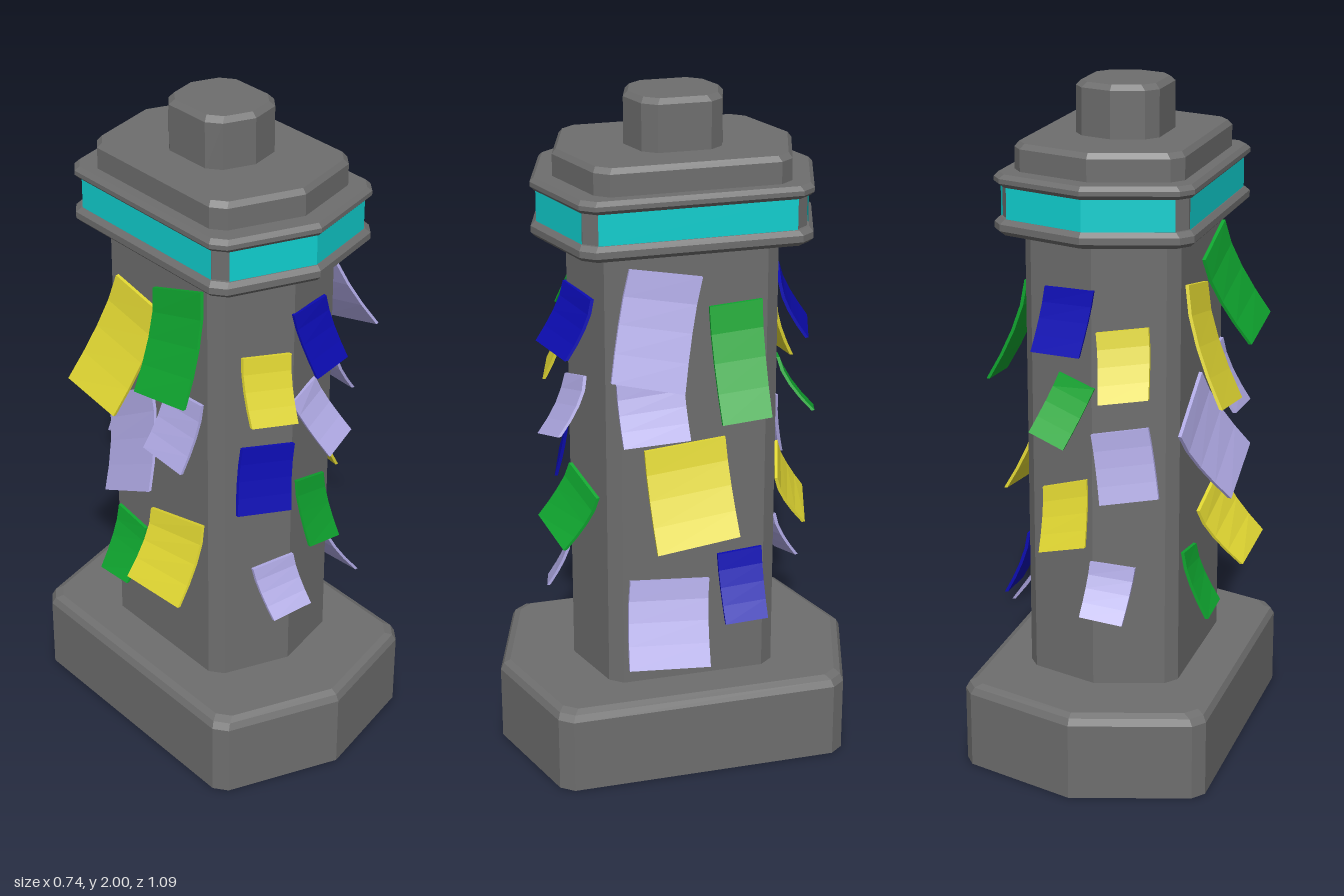
import * as THREE from 'three';

const mat = (name, color, opts = {}) => {
  const m = new THREE.MeshStandardMaterial({ color, ...opts });
  m.name = name;
  return m;
};

// Ten-point plan: a long hexagon pointed at front and back, side corners chamfered
const SLOPE = 0.31;
const CHAMFERS = [1, 3, 6, 8];
function plan(hx, hz) {
  const c = 0.03;
  const za = hz - SLOPE * (hx - c), zb = hz - SLOPE * hx - 0.03;
  const half = [[0, hz], [hx - c, za], [hx, zb], [hx, -zb], [hx - c, -za]];
  return [...half, ...half.map(([x, z]) => [-x, -z])];
}

// Stacks plans at levels [y, inset]; caps and chamfer faces are optional
function loft(hx, hz, levels, { bottom = true, top = true, skip = [] } = {}) {
  const pos = [];
  const rings = levels.map(([y, inset]) =>
    plan(hx - inset, hz - inset).map(([x, z]) => [x, y, z]));
  const n = rings[0].length;
  for (let i = 0; i < n; i++) {
    const j = (i + 1) % n;
    if (!skip.includes(i)) {
      for (let k = 0; k + 1 < rings.length; k++) {
        const a = rings[k][i], b = rings[k][j], c = rings[k + 1][j], d = rings[k + 1][i];
        pos.push(...a, ...b, ...c, ...a, ...c, ...d);
      }
    }
    const last = rings.length - 1;
    if (top) pos.push(0, levels[last][0], 0, ...rings[last][i], ...rings[last][j]);
    if (bottom) pos.push(0, levels[0][0], 0, ...rings[0][j], ...rings[0][i]);
  }
  const g = new THREE.BufferGeometry();
  g.setAttribute('position', new THREE.Float32BufferAttribute(pos, 3));
  g.computeVertexNormals();
  return g;
}

const bevelled = (y0, y1, b) => [[y0, b], [y0 + b, 0], [y1 - b, 0], [y1, b]];

// Wall of the shaft as seen from each side, and how (across, y, out) maps to space
const pointed = a => 0.315 - SLOPE * Math.abs(a);
const flat = () => 0.23;
const faces = {
  front: { wall: pointed, place: (a, y, o) => [a, y, o] },
  back: { wall: pointed, place: (a, y, o) => [a, y, -o] },
  right: { wall: flat, place: (a, y, o) => [o, y, a] },
  left: { wall: flat, place: (a, y, o) => [-o, y, a] },
};

// Paper sheet from corners [a, y] (top left, top right, bottom right, bottom left
// seen from outside), pinned at the top and curling outwards by flare
function paperGeometry({ wall, place }, [tl, tr, br, bl], flare) {
  const g = new THREE.BoxGeometry(1, 1, 0.01, 1, 4, 1).toNonIndexed();
  const p = g.attributes.position;
  const mix = THREE.MathUtils.lerp;
  for (let i = 0; i < p.count; i++) {
    const u = p.getX(i) + 0.5, t = 0.5 - p.getY(i);
    const a = mix(mix(tl[0], tr[0], u), mix(bl[0], br[0], u), t);
    const y = mix(mix(tl[1], tr[1], u), mix(bl[1], br[1], u), t);
    const out = wall(a) + 0.007 + p.getZ(i) + flare * Math.pow(t, 1.5);
    p.setXYZ(i, ...place(a, y, out));
  }
  g.computeVertexNormals();
  return g;
}

// Front sheets: front colour, back colour, flare, corners
const endSheets = [
  ['blue', 'blue', 0.085, [[-0.01, 1.46], [0.15, 1.45], [0.165, 1.28], [0.005, 1.29]]],
  ['yellow', 'yellow', 0.07, [[-0.155, 1.355], [-0.015, 1.34], [-0.04, 1.15], [-0.175, 1.165]]],
  ['lavender', 'green', 0.11, [[-0.01, 1.175], [0.105, 1.205], [0.165, 1.05], [0.05, 1.02]]],
  ['blue', 'lavender', 0.04, [[-0.155, 1.06], [0, 1.04], [-0.035, 0.84], [-0.195, 0.86]]],
  ['green', 'yellow', 0.09, [[0.015, 0.9], [0.165, 0.845], [0.145, 0.68], [-0.01, 0.73]]],
  ['lavender', 'lavender', 0.075, [[-0.12, 0.63], [0.005, 0.65], [0.015, 0.505], [-0.105, 0.48]]],
];

const rightSheets = [
  ['lavender', 0.125, [[0.19, 1.56], [-0.02, 1.52], [0.065, 1.225], [0.275, 1.28]]],
  ['green', 0.125, [[-0.04, 1.43], [-0.195, 1.44], [-0.19, 1.13], [-0.045, 1.12]]],
  ['lavender', 0.08, [[0.23, 1.22], [0.035, 1.235], [0.035, 1.065], [0.23, 1.06]]],
  ['yellow', 0.11, [[0.15, 1.01], [-0.09, 1.03], [-0.105, 0.76], [0.14, 0.73]]],
  ['blue', 0.075, [[-0.07, 0.655], [-0.205, 0.665], [-0.205, 0.465], [-0.075, 0.46]]],
  ['lavender', 0.125, [[0.195, 0.6], [-0.045, 0.58], [-0.015, 0.355], [0.23, 0.375]]],
];

const leftSheets = [
  ['green', 0.125, [[-0.01, 1.49], [0.2, 1.56], [0.275, 1.27], [0.055, 1.23]]],
  ['yellow', 0.125, [[-0.18, 1.46], [0.02, 1.42], [-0.045, 1.1], [-0.26, 1.13]]],
  ['lavender', 0.085, [[0.04, 1.19], [0.2, 1.2], [0.21, 1.01], [0.04, 1.02]]],
  ['lavender', 0.115, [[-0.24, 1.03], [-0.03, 1.16], [0.1, 0.91], [-0.11, 0.81]]],
  ['yellow', 0.125, [[-0.04, 0.73], [0.2, 0.79], [0.24, 0.58], [0, 0.56]]],
  ['green', 0.075, [[-0.2, 0.66], [-0.07, 0.64], [-0.07, 0.47], [-0.2, 0.46]]],
];

export function createModel() {
  const stone = mat('stone grey', 0x6e6e6e);
  const shell = mat('stone grey shell', 0x6e6e6e, { side: THREE.DoubleSide });
  const glow = mat('cyan light', 0x10d0d0, { side: THREE.DoubleSide });
  const paper = {
    blue: mat('blue paper', 0x0c0cb2),
    yellow: mat('yellow paper', 0xe0d632),
    green: mat('green paper', 0x0fa52f),
    lavender: mat('lavender paper', 0xaca6e0),
  };

  const model = new THREE.Group();
  model.name = 'noticePillar';
  const add = (name, geometry, material, parent = model) => {
    const mesh = new THREE.Mesh(geometry, material);
    mesh.name = name;
    parent.add(mesh);
  };

  // Hollow plinth, open underneath
  add('plinth', loft(0.37, 0.545, [[0, 0], [0.23, 0], [0.25, 0.01], [0.26, 0.03]],
    { bottom: false }), shell);
  add('shaft', loft(0.23, 0.315, [[0.255, 0], [1.61, 0]], { bottom: false, top: false }), stone);

  // Collar: two rims around a lit band with posts at the chamfered corners
  add('lowerRim', loft(0.29, 0.415, bevelled(1.6, 1.645, 0.013)), stone);
  add('collarCore', loft(0.27, 0.395, [[1.64, 0], [1.74, 0]]), stone);
  add('lightBand', loft(0.274, 0.399, [[1.645, 0], [1.735, 0]],
    { bottom: false, top: false, skip: CHAMFERS }), glow);
  add('upperRim', loft(0.29, 0.415, bevelled(1.735, 1.772, 0.012)), stone);

  // Stepped roof
  add('cap', loft(0.247, 0.35, [[1.765, 0], [1.835, 0], [1.85, 0.012]]), stone);
  add('topBlock', loft(0.123, 0.145, [[1.845, 0], [1.985, 0], [2, 0.014]]), stone);

  // Paper sheets on all four sides
  const addSheets = (side, sheets) => {
    const group = new THREE.Group();
    group.name = side + 'Papers';
    sheets.forEach(([color, flare, corners], i) =>
      add(`${side}Paper${i + 1}`, paperGeometry(faces[side], corners, flare), paper[color], group));
    model.add(group);
  };
  addSheets('front', endSheets.map(([f, , flare, c]) => [f, flare, c]));
  addSheets('back', endSheets.map(([, b, flare, [tl, tr, br, bl]]) => [b, flare, [tr, tl, bl, br]]));
  addSheets('right', rightSheets);
  addSheets('left', leftSheets);
  return model;
}
